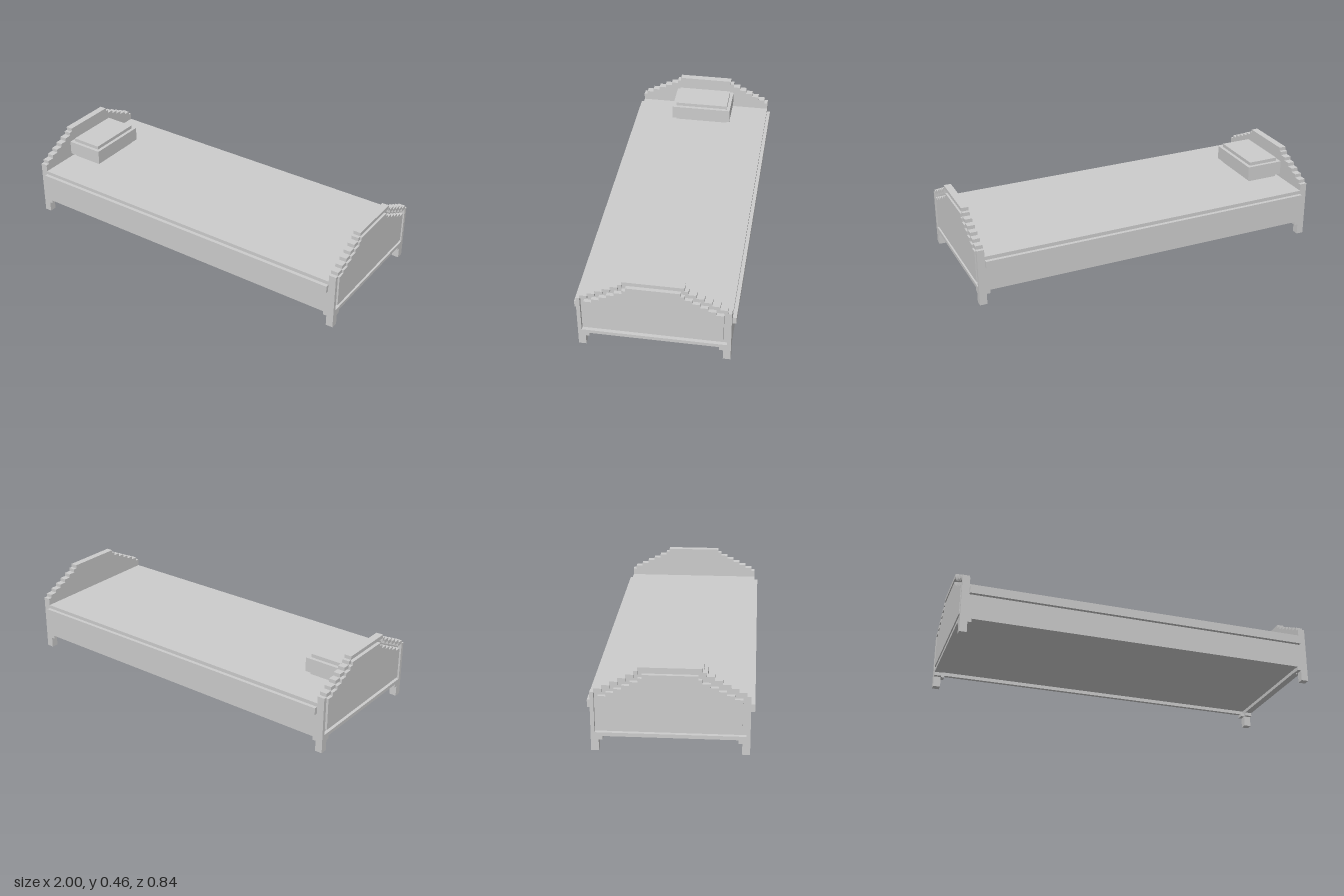
import * as THREE from 'three';

const material = new THREE.MeshStandardMaterial({ color: 0xcccccc, flatShading: true });

function box(parent, name, x0, x1, y0, y1, z0, z1) {
  const mesh = new THREE.Mesh(new THREE.BoxGeometry(x1 - x0, y1 - y0, z1 - z0), material);
  mesh.position.set((x0 + x1) / 2, (y0 + y1) / 2, (z0 + z1) / 2);
  mesh.name = name;
  parent.add(mesh);
}

// Mirrored outline with a stepped top; each step is [half width, height]
function steppedOutline(bottom, steps) {
  const half = [[steps[0][0], bottom]];
  steps.forEach(([w, h], i) => {
    half.push([w, h]);
    if (i < steps.length - 1) half.push([steps[i + 1][0], h]);
  });
  const all = [...half, ...half.slice().reverse().map(([w, h]) => [-w, h])];
  return all.map(([x, y]) => new THREE.Vector2(x, y));
}

// Upright board lying across the bed, from x0 to x1
function board(parent, name, shape, x0, x1) {
  const geometry = new THREE.ExtrudeGeometry(shape, { depth: x1 - x0, bevelEnabled: false });
  geometry.rotateY(Math.PI / 2).translate(x0, 0, 0);
  const mesh = new THREE.Mesh(geometry, material);
  mesh.name = name;
  parent.add(mesh);
}

const outer = [[0.4, 0.32], [0.38, 0.34], [0.34, 0.36], [0.3, 0.38], [0.26, 0.4], [0.22, 0.42], [0.18, 0.44], [0.16, 0.46]];
const groove = [[0.38, 0.32], [0.34, 0.34], [0.3, 0.36], [0.26, 0.38], [0.22, 0.4], [0.18, 0.42], [0.16, 0.44]];
const panel = [[0.36, 0.3], [0.32, 0.32], [0.28, 0.34], [0.24, 0.36], [0.2, 0.38], [0.16, 0.4], [0.14, 0.42]];

// Stepped end board with a grooved outer face, legs and corner brackets
function createEnd(name) {
  const end = new THREE.Group();
  end.name = name;
  board(end, 'endBacking', new THREE.Shape(steppedOutline(0.08, outer)), 0.96, 0.98);
  const rim = new THREE.Shape(steppedOutline(0.08, outer));
  rim.holes.push(new THREE.Path(steppedOutline(0.1, groove)));
  board(end, 'endRim', rim, 0.98, 1);
  board(end, 'endPanel', new THREE.Shape(steppedOutline(0.12, panel)), 0.98, 1);
  for (const s of [-1, 1]) {
    const span = (a, b) => (s > 0 ? [a, b] : [-b, -a]);
    box(end, 'leg', 0.96, 1, 0, 0.08, ...span(0.36, 0.4));
    box(end, 'endBracket', 0.96, 1, 0.06, 0.08, ...span(0.34, 0.36));
    box(end, 'sideBracket', 0.94, 0.96, 0.06, 0.08, ...span(0.36, 0.4));
  }
  return end;
}

export function createModel() {
  const bed = new THREE.Group();
  bed.name = 'bed';

  // Mattress block with a hollow underside edged by the side boards
  box(bed, 'mattress', -0.96, 0.96, 0.1, 0.28, -0.4, 0.4);
  for (const s of [-1, 1]) {
    const span = (a, b) => (s > 0 ? [a, b] : [-b, -a]);
    box(bed, 'sideSkirt', -0.96, 0.96, 0.08, 0.1, ...span(0.38, 0.4));
    box(bed, 'sideRail', -0.96, 0.96, 0.22, 0.26, ...span(0.4, 0.42));
  }

  // Head and foot ends
  const head = createEnd('headboard');
  head.rotation.y = Math.PI;
  bed.add(head, createEnd('footboard'));

  // Pillow with a wider middle layer
  const pillow = new THREE.Group();
  pillow.name = 'pillow';
  box(pillow, 'pillowBase', -0.94, -0.76, 0.28, 0.3, -0.16, 0.16);
  box(pillow, 'pillowMiddle', -0.96, -0.74, 0.3, 0.38, -0.18, 0.18);
  box(pillow, 'pillowTop', -0.94, -0.76, 0.38, 0.4, -0.16, 0.16);
  bed.add(pillow);
  return bed;
}
